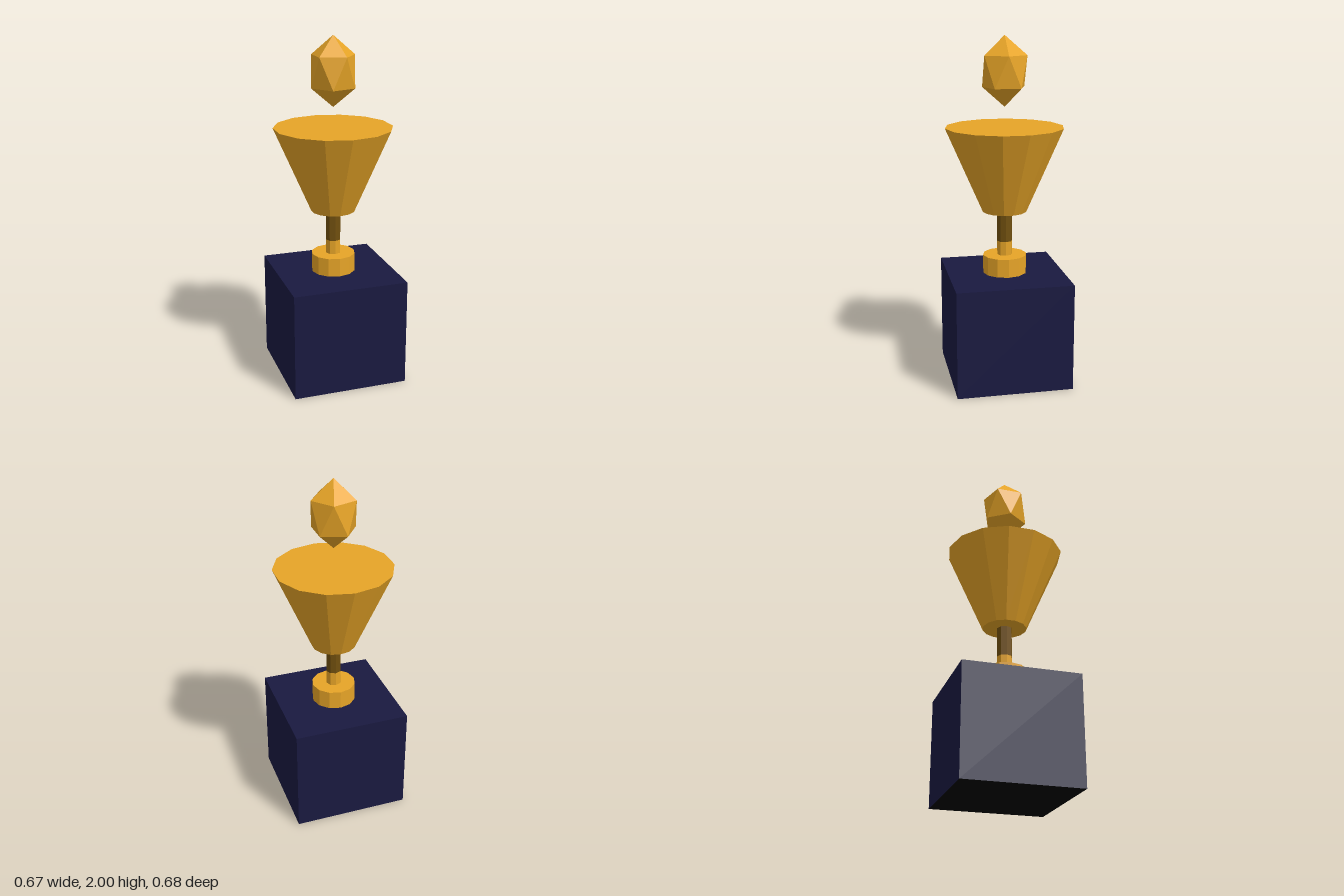
import * as THREE from 'three';

export function createModel() {
  const makeMaterial = (name, color) => {
    const material = new THREE.MeshStandardMaterial({ color, flatShading: true });
    material.name = name;
    return material;
  };
  const gold = makeMaterial('gold', 0xe6a427);
  const darkGold = makeMaterial('dark gold', 0x704f0e);
  const navy = makeMaterial('navy', 0x191940);
  const black = makeMaterial('black', 0x000000);

  const model = new THREE.Group();
  model.name = 'trophy';

  const add = (name, geometry, material, y) => {
    const mesh = new THREE.Mesh(geometry, material);
    mesh.name = name;
    mesh.position.y = y;
    model.add(mesh);
  };

  // Faceted round part standing between two heights
  const addRound = (name, topRadius, bottomRadius, bottom, top, sides, material = gold) =>
    add(name, new THREE.CylinderGeometry(topRadius, bottomRadius, top - bottom, sides),
      material, (bottom + top) / 2);

  // Square plinth with a black underside
  add('plinth', new THREE.BoxGeometry(0.672, 0.63, 0.672),
    [navy, navy, navy, black, navy, navy], 0.315);

  // Foot, two-tone stem and closed flared cup
  addRound('foot', 0.128, 0.128, 0.63, 0.738, 12);
  addRound('lowerStem', 0.044, 0.044, 0.738, 0.82, 8);
  addRound('upperStem', 0.044, 0.044, 0.82, 0.998, 8, darkGold);
  addRound('cup', 0.341, 0.128, 0.998, 1.488, 14);

  // Floating gem: icosahedron turned to stand on a corner, stretched upward
  const gem = new THREE.IcosahedronGeometry(0.143, 0);
  gem.rotateZ(-Math.atan(2 / (1 + Math.sqrt(5))));
  gem.scale(1, 0.199 / 0.143, 1);
  add('gem', gem, gold, 1.801);

  return model;
}
